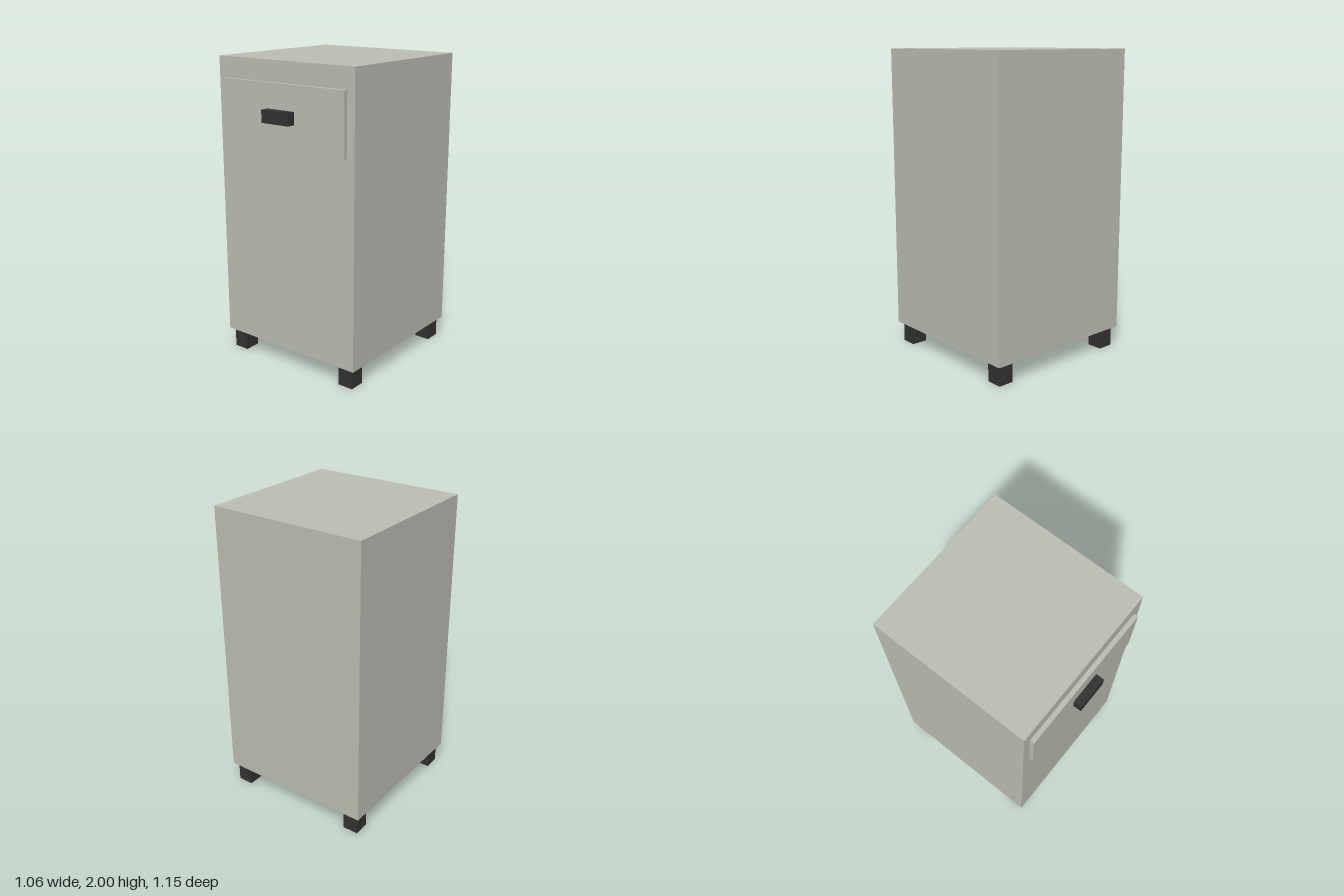
import * as THREE from 'three';

export function createModel() {
  const model = new THREE.Group();
  model.name = 'drawerCabinet';

  const paint = new THREE.MeshStandardMaterial({ color: 0xbdbeb4 });
  paint.name = 'warm grey paint';
  const dark = new THREE.MeshStandardMaterial({ color: 0x333333 });
  dark.name = 'dark plastic';

  // Box given by its lower and upper limits on each axis
  function addBox(name, material, [x0, x1], [y0, y1], [z0, z1]) {
    const mesh = new THREE.Mesh(new THREE.BoxGeometry(x1 - x0, y1 - y0, z1 - z0), material);
    mesh.position.set((x0 + x1) / 2, (y0 + y1) / 2, (z0 + z1) / 2);
    mesh.name = name;
    model.add(mesh);
  }

  const legHeight = 0.135;
  const front = 0.49, back = -0.573;

  // Cabinet body, drawer front and its pull
  addBox('cabinetBody', paint, [-0.532, 0.532], [legHeight, 2], [back, front]);
  addBox('drawerFront', paint, [-0.478, 0.478], [1.47, 1.868], [front, 0.518]);
  addBox('drawerHandle', dark, [-0.106, 0.106], [1.63, 1.71], [0.518, 0.573]);

  // Four square legs, set in from the corners
  const inset = 0.027, legWidth = 0.106;
  for (const [sideName, x] of [['Left', 0.532 - inset - legWidth], ['Right', -0.532 + inset]]) {
    for (const [endName, z] of [['front', front - inset - legWidth], ['back', back + inset]]) {
      addBox(`${endName}${sideName}Leg`, dark, [x, x + legWidth], [0, legHeight], [z, z + legWidth]);
    }
  }

  return model;
}
